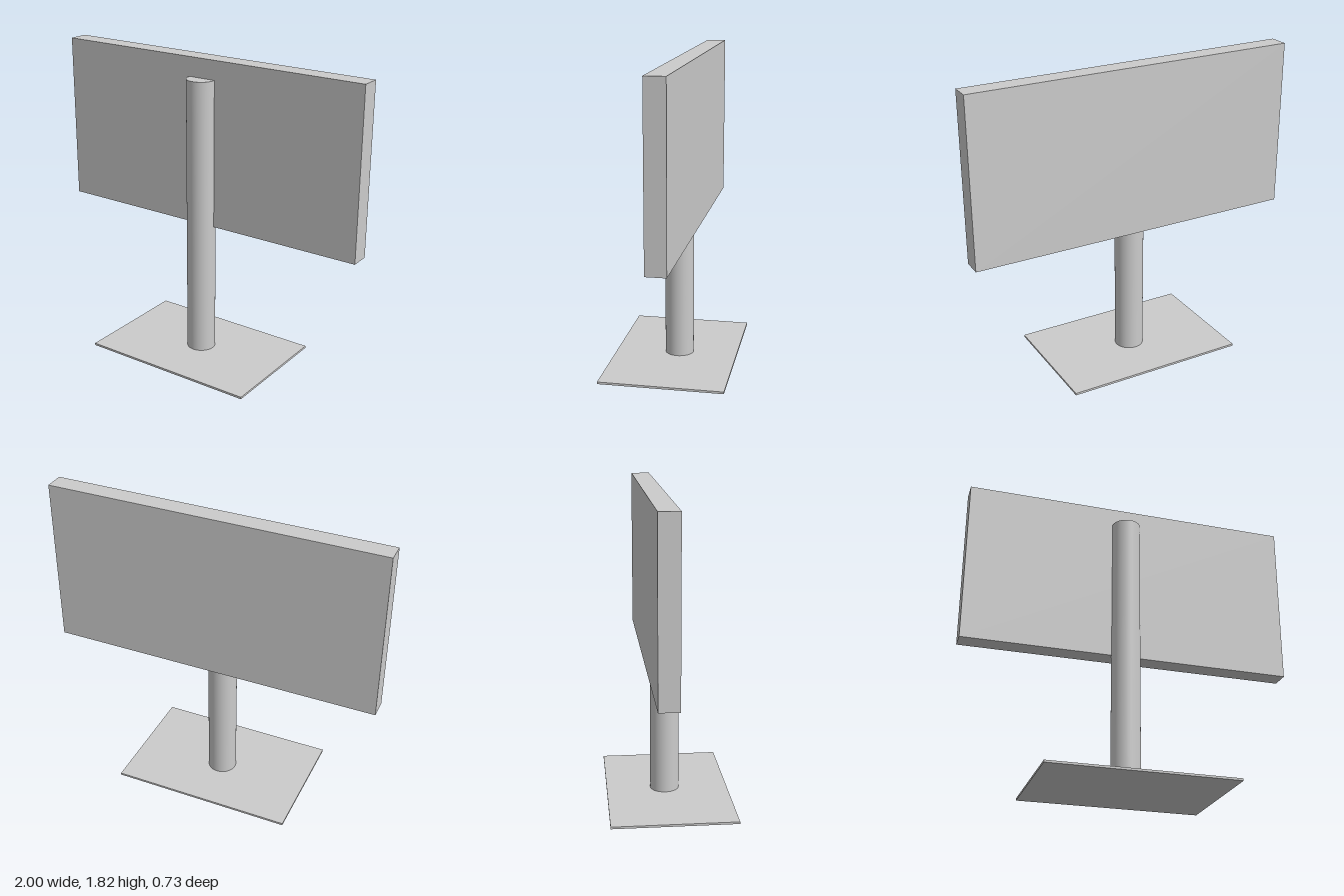
import * as THREE from 'three';

export function createModel() {
  const group = new THREE.Group();
  const material = new THREE.MeshStandardMaterial({ color: 0xcccccc });

  const add = (name, geometry, x, y, z) => {
    const mesh = new THREE.Mesh(geometry, material);
    mesh.name = name;
    mesh.position.set(x, y, z);
    group.add(mesh);
  };

  const postX = -0.02;
  const baseHeight = 0.013;
  const postTop = 1.71;
  const postHeight = postTop - baseHeight;

  // Thin floor plate
  add('basePlate', new THREE.BoxGeometry(1.095, baseHeight, 0.732), postX, baseHeight / 2, 0);

  // Round post, half sunk into the panel
  add('post', new THREE.CylinderGeometry(0.086, 0.086, postHeight, 64), postX, baseHeight + postHeight / 2, -0.014);

  // Wide upright panel
  add('panel', new THREE.BoxGeometry(2, 1.004, 0.116), 0, 1.323, -0.079);

  return group;
}
